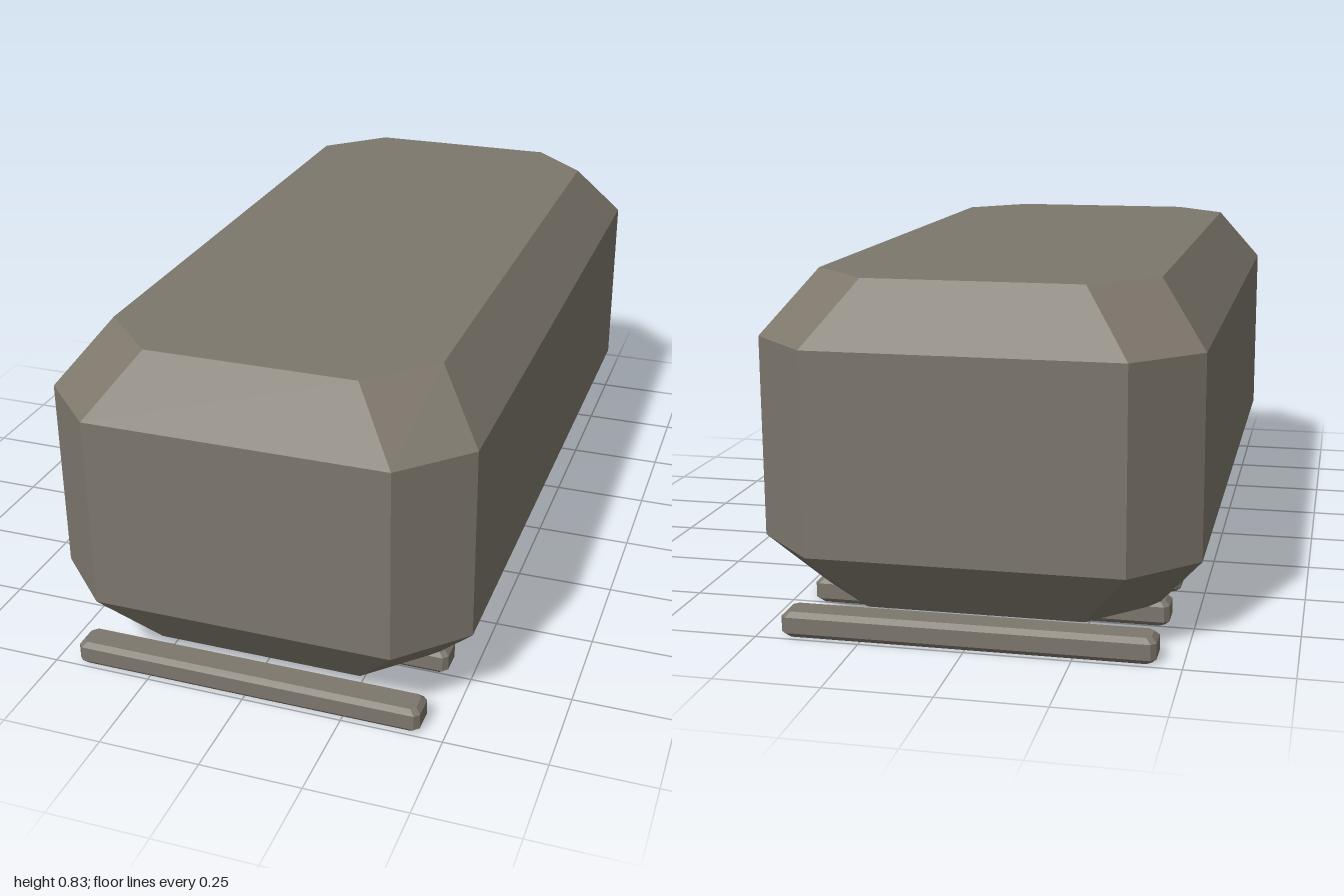
import * as THREE from 'three';

// Solid stacked from octagonal rings [y, halfX, halfZ, cornerCut], listed bottom to top
function chamferedBlock(rings) {
  const outline = ([y, x, z, c]) => [
    [x, y, z - c], [x, y, c - z], [x - c, y, -z], [c - x, y, -z],
    [-x, y, c - z], [-x, y, z - c], [c - x, y, z], [x - c, y, z],
  ];
  const loops = rings.map(outline);
  const pos = [];
  const tri = (a, b, c) => pos.push(...a, ...b, ...c);
  for (let r = 0; r < loops.length - 1; r++) {
    const lo = loops[r], hi = loops[r + 1];
    for (let i = 0; i < 8; i++) {
      const j = (i + 1) % 8;
      tri(lo[i], lo[j], hi[j]);
      tri(lo[i], hi[j], hi[i]);
    }
  }
  // Flat caps
  const bottom = loops[0], top = loops[loops.length - 1];
  for (let i = 1; i < 7; i++) {
    tri(top[0], top[i], top[i + 1]);
    tri(bottom[0], bottom[i + 1], bottom[i]);
  }
  const g = new THREE.BufferGeometry();
  g.setAttribute('position', new THREE.Float32BufferAttribute(pos, 3));
  g.computeVertexNormals();
  return g;
}

export function createModel() {
  const model = new THREE.Group();
  model.name = 'crateOnSlats';
  const stone = new THREE.MeshStandardMaterial({ color: 0x7d776c, flatShading: true });
  stone.name = 'warm grey';

  // Large chamfered body
  const body = new THREE.Mesh(chamferedBlock([
    [0.05, 0.41, 0.887, 0.15],
    [0.2, 0.525, 1.0, 0.153],
    [0.685, 0.525, 1.0, 0.153],
    [0.835, 0.41, 0.887, 0.15],
  ]), stone);
  body.name = 'body';
  model.add(body);

  // Row of cross slats underneath
  const slatGeometry = chamferedBlock([
    [0, 0.428, 0.03, 0.011],
    [0.012, 0.44, 0.041, 0.012],
    [0.05, 0.44, 0.041, 0.012],
    [0.062, 0.428, 0.03, 0.011],
  ]);
  const slats = new THREE.Group();
  slats.name = 'slats';
  for (let i = 0; i < 9; i++) {
    const slat = new THREE.Mesh(slatGeometry, stone);
    slat.name = `slat${i + 1}`;
    slat.position.z = (i - 4) * 0.2385;
    slats.add(slat);
  }
  model.add(slats);
  return model;
}
